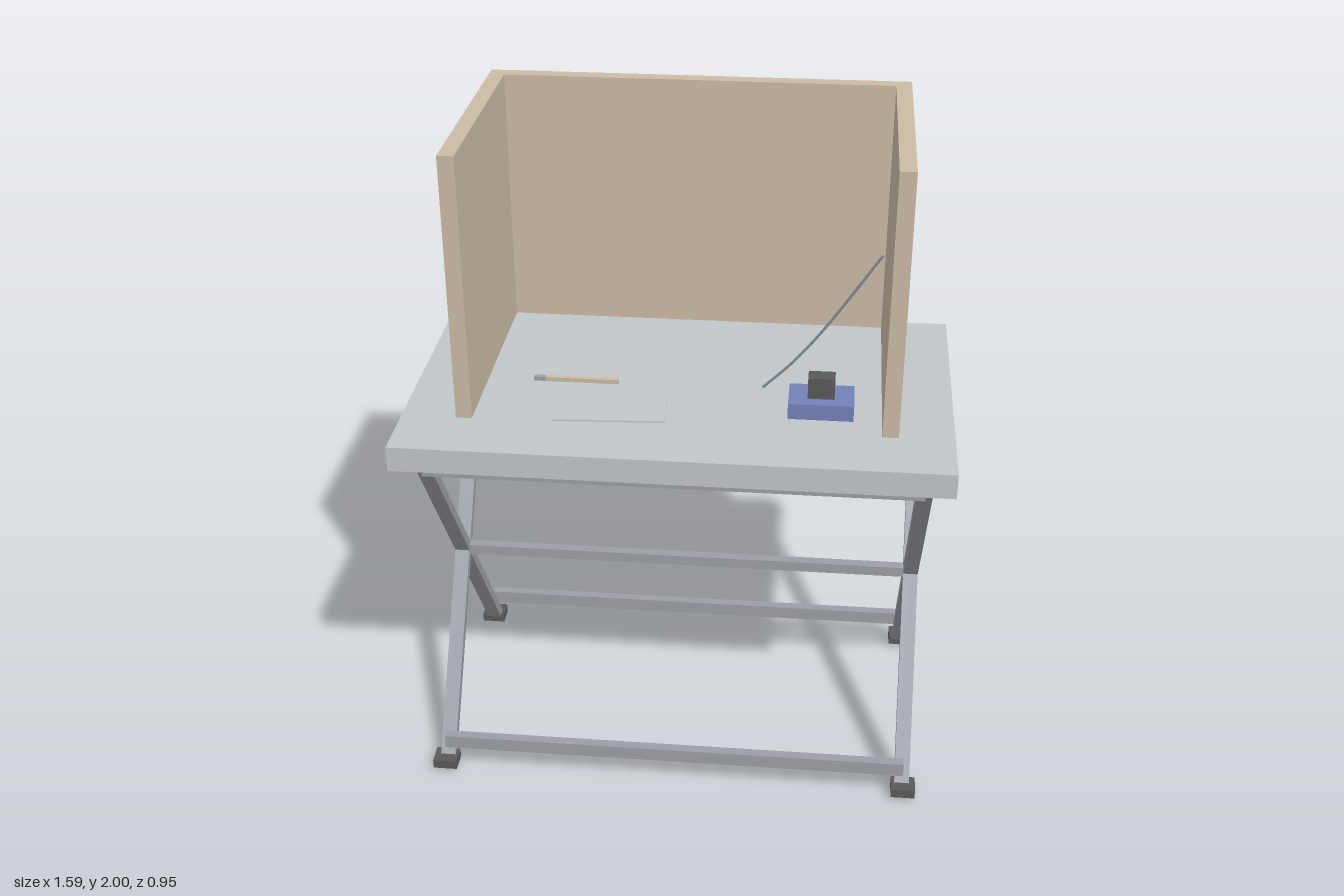
import * as THREE from 'three';

const mat = (name, color) => {
  const m = new THREE.MeshStandardMaterial({ color });
  m.name = name;
  return m;
};

export function createModel() {
  const model = new THREE.Group();
  model.name = 'foldingDeskWithScreen';

  const tabletopGrey = mat('tabletopGrey', 0xc0c5c9);
  const screenTan = mat('screenTan', 0xcbbba5);
  const steelGrey = mat('steelGrey', 0x9c9ea6);
  const darkRubber = mat('darkRubber', 0x595959);
  const deviceBlue = mat('deviceBlue', 0x7382b8);
  const wireGrey = mat('wireGrey', 0x7d8a94);

  const add = (name, geometry, material) => {
    const mesh = new THREE.Mesh(geometry, material);
    mesh.name = name;
    model.add(mesh);
    return mesh;
  };
  // Box given by its lower and upper limits on each axis
  const box = (name, material, [x0, x1], [y0, y1], [z0, z1]) => {
    const mesh = add(name, new THREE.BoxGeometry(x1 - x0, y1 - y0, z1 - z0), material);
    mesh.position.set((x0 + x1) / 2, (y0 + y1) / 2, (z0 + z1) / 2);
    return mesh;
  };
  const wire = (name, material, radius, points) => {
    const curve = new THREE.CatmullRomCurve3(points.map((p) => new THREE.Vector3(...p)));
    return add(name, new THREE.TubeGeometry(curve, 24, radius, 8), material);
  };

  // Tabletop
  const top = 1.206;
  box('tabletop', tabletopGrey, [-0.797, 0.797], [1.13, top], [-0.477, 0.477]);

  // Three-sided privacy screen
  box('screenBack', screenTan, [-0.637, 0.637], [top, 2], [-0.477, -0.432]);
  box('screenRight', screenTan, [-0.637, -0.59], [top, 2], [-0.432, 0.285]);
  box('screenLeft', screenTan, [0.59, 0.637], [top, 2], [-0.432, 0.285]);

  // Crossed legs and feet at each end
  const tilt = Math.atan2(0.8, 1.11);
  for (const sx of [-1, 1]) {
    for (const sz of [-1, 1]) {
      const leg = add('leg', new THREE.BoxGeometry(0.046, 1.383, 0.03), steelGrey);
      leg.position.set(sx * 0.716, 0.569, 0);
      leg.rotation.x = sz * tilt;
      const foot = add('foot', new THREE.BoxGeometry(0.074, 0.03, 0.064), darkRubber);
      foot.position.set(sx * 0.72, 0.028, sz * 0.4);
    }
  }

  // Rails joining the two ends
  for (const sz of [-1, 1]) {
    const upper = add('upperRail', new THREE.BoxGeometry(1.434, 0.033, 0.03), steelGrey);
    upper.position.set(0, 1.097, sz * 0.4);
    const lower = add('lowerRail', new THREE.BoxGeometry(1.434, 0.044, 0.03), steelGrey);
    lower.position.set(0, 0.107, sz * 0.4);
  }
  box('middleRail', steelGrey, [-0.693, 0.693], [0.555, 0.588], [-0.016, 0.016]);

  // Sheet of paper, laid slightly askew
  const paper = add('paper', new THREE.BoxGeometry(0.325, 0.005, 0.2), tabletopGrey);
  paper.position.set(-0.2, top + 0.0025, 0.17);
  paper.rotation.y = 0.06;

  // Pencil with its tip
  box('pencilBody', screenTan, [-0.416, -0.195], [1.209, 1.222], [0.026, 0.041]);
  box('pencilTip', steelGrey, [-0.45, -0.416], [1.209, 1.222], [0.026, 0.041]);

  // Small device with a raised block
  box('deviceBase', deviceBlue, [0.318, 0.508], [top, 1.255], [0.073, 0.202]);
  box('deviceBlock', darkRubber, [0.373, 0.451], [1.255, 1.32], [0.114, 0.164]);

  // Bent wire rising from the desk, and the loop hanging beneath it
  wire('bentWire', wireGrey, 0.004, [
    [0.236, 1.205, 0.011], [0.32, 1.288, 0.007], [0.41, 1.4, 0.003], [0.57, 1.638, -0.005],
  ]);
  wire('hangingLoop', darkRubber, 0.005, [
    [-0.11, 1.132, 0.026], [-0.05, 1.117, 0.026], [0, 1.113, 0.026], [0.05, 1.117, 0.026], [0.11, 1.132, 0.026],
  ]);

  return model;
}
